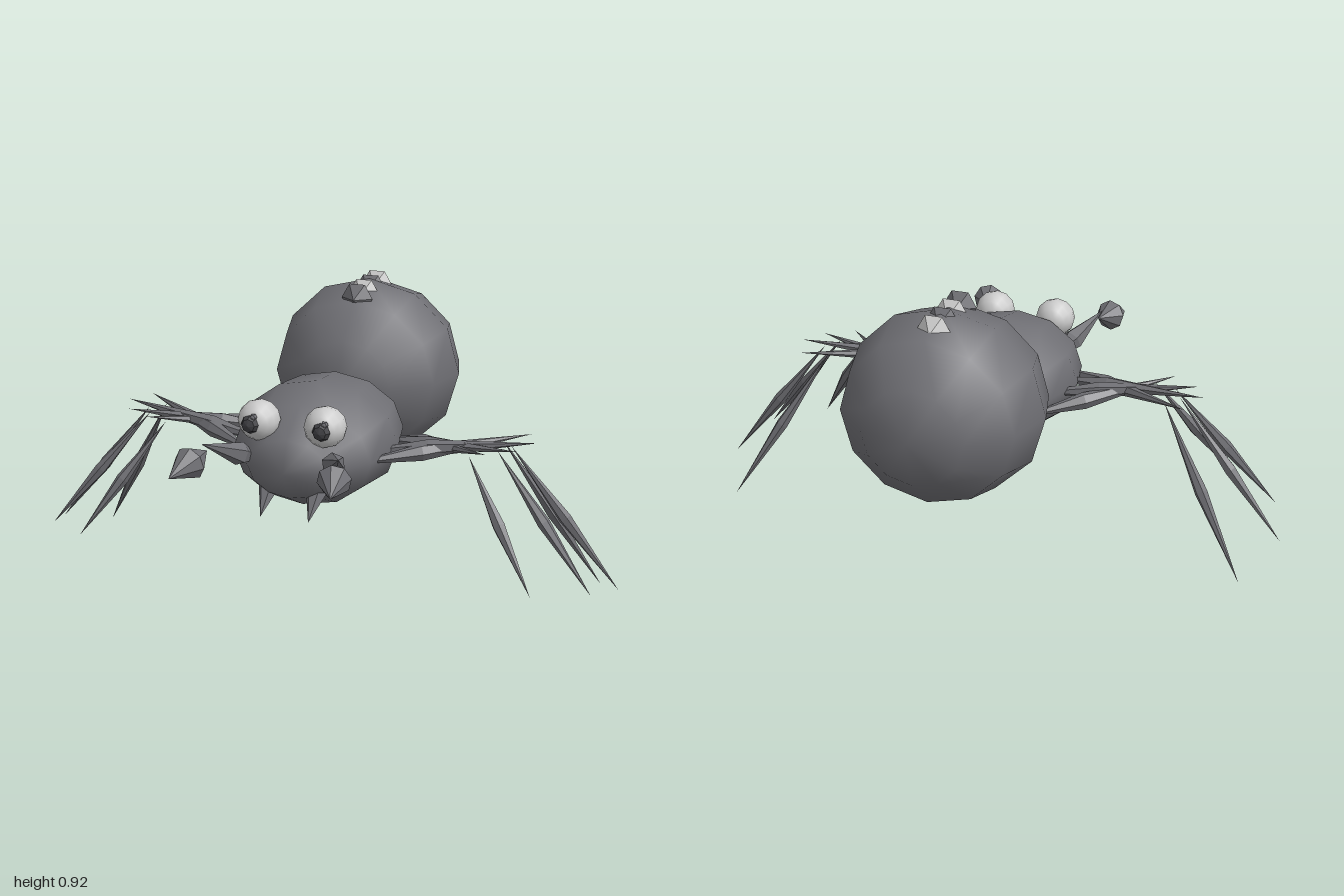
import * as THREE from 'three';

const mat = (color, flatShading = false) => new THREE.MeshStandardMaterial({ color, flatShading });
const bodyMat = mat(0x707075);
const limbMat = mat(0x707075, true);
const paleMat = mat(0xcccccc);
const paleFlat = mat(0xcccccc, true);
const darkMat = mat(0x404044, true);

export function createModel() {
  const root = new THREE.Group();

  function add(name, geometry, material) {
    const mesh = new THREE.Mesh(geometry, material);
    mesh.name = name;
    root.add(mesh);
    return mesh;
  }

  // Ellipsoid with its poles along z
  function ball(name, pos, radii, material, sides = 12, rows = 6) {
    const geo = new THREE.SphereGeometry(1, sides, rows).rotateX(Math.PI / 2).scale(...radii);
    const mesh = add(name, geo, material);
    mesh.position.set(...pos);
    return mesh;
  }

  // Faceted double cone from a to b, widest at fraction t
  function spindle(name, a, b, r, material, sides = 6, t = 0.5) {
    const start = new THREE.Vector3(...a);
    const dir = new THREE.Vector3(...b).sub(start);
    const len = dir.length();
    const profile = [[0, 0], [r, len * t], [0, len]].map(p => new THREE.Vector2(...p));
    const mesh = add(name, new THREE.LatheGeometry(profile, sides, Math.PI / sides), material);
    mesh.position.copy(start);
    mesh.quaternion.setFromUnitVectors(new THREE.Vector3(0, 1, 0), dir.normalize());
    return mesh;
  }

  // Body
  ball('abdomen', [0, 0.612, -0.402], [0.328, 0.31, 0.319], bodyMat);
  ball('thorax', [0, 0.505, 0.105], [0.27, 0.195, 0.335], bodyMat).rotation.x = 0.06;

  // Row of ridges on top of the abdomen
  [-0.27, -0.343, -0.416, -0.488].forEach((z, i) => {
    spindle('backRidge', [0, 0.883, z - 0.04], [0, 0.883, z + 0.04], 0.055, i % 2 ? paleFlat : limbMat);
  });

  // Hip, knee, top of shin and foot of each left leg, rear to front
  const legs = [
    [[0.15, 0.48, 0.27], [0.67, 0.54, -0.05], [0.59, 0.53, 0.01], [0.9, 0.01, -0.15]],
    [[0.15, 0.49, 0.16], [0.71, 0.545, 0.05], [0.63, 0.53, 0.06], [0.99, 0.08, 0.04]],
    [[0.15, 0.49, 0.02], [0.67, 0.54, 0.14], [0.6, 0.53, 0.12], [0.935, 0.125, 0.22]],
    [[0.15, 0.46, -0.12], [0.58, 0.54, 0.2], [0.52, 0.52, 0.17], [0.77, 0.145, 0.34]],
  ];

  for (const [side, s] of [['left', 1], ['right', -1]]) {
    const m = ([x, y, z]) => [s * x, y, z];

    for (const [hip, knee, shin, foot] of legs) {
      spindle(side + 'UpperLeg', m(hip), m(knee), 0.028, limbMat, 6, 0.4);
      spindle(side + 'LowerLeg', m(shin), m(foot), 0.021, limbMat);
    }

    // Eyes
    ball(side + 'Eye', m([0.11, 0.627, 0.352]), [0.068, 0.066, 0.066], paleMat, 12, 8);
    ball(side + 'Pupil', m([0.117, 0.628, 0.412]), [0.03, 0.03, 0.025], darkMat, 8, 4);
    ball(side + 'Glint', [s * 0.117 + 0.012, 0.653, 0.412], [0.012, 0.012, 0.012], limbMat, 6, 4);

    // Feelers and fangs
    spindle(side + 'FeelerBase', m([0.12, 0.49, 0.33]), m([0.222, 0.595, 0.55]), 0.038, limbMat, 6, 0.35);
    spindle(side + 'FeelerTip', m([0.212, 0.57, 0.53]), m([0.256, 0.535, 0.718]), 0.053, limbMat, 8, 0.45);
    spindle(side + 'Fang', m([0.08, 0.45, 0.31]), m([0.08, 0.333, 0.43]), 0.035, limbMat, 6, 0.35);
  }

  return root;
}
